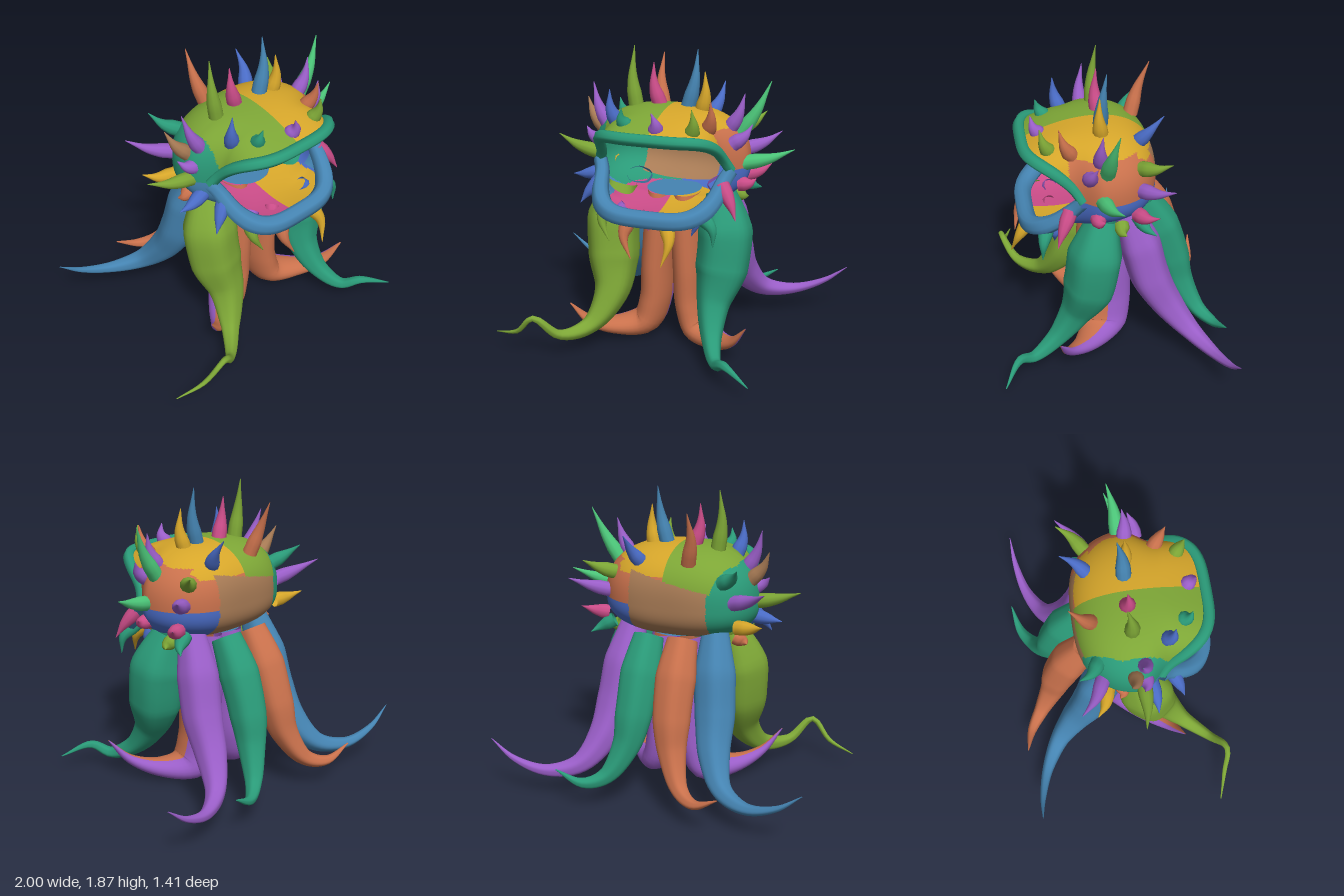
import * as THREE from 'three';
import { mergeVertices } from 'three/addons/utils/BufferGeometryUtils.js';

const palette = {
  teal: 0x2a9a78, steelBlue: 0x4584b2, orange: 0xc9714c, green: 0x7da636, yellow: 0xd6a62a,
  purple: 0x9a5ec8, brown: 0xa87b55, royalBlue: 0x4a6cc6, pink: 0xca4c88, mint: 0x4cc679,
};
const names = Object.keys(palette);

export function createModel() {
  const model = new THREE.Group();
  model.name = 'spikyTentacleCreature';
  const materials = names.map((name) => {
    const m = new THREE.MeshStandardMaterial({ color: palette[name], side: THREE.DoubleSide });
    m.name = name;
    return m;
  });

  // Surface grid; pick(center, u) names the colour of each cell
  function surface(name, nu, nv, point, pick) {
    const pos = [];
    const buckets = names.map(() => []);
    const pts = [];
    for (let j = 0; j <= nv; j++) {
      for (let i = 0; i <= nu; i++) {
        const p = point(i / nu, j / nv);
        pts.push(p);
        pos.push(p.x, p.y, p.z);
      }
    }
    for (let j = 0; j < nv; j++) {
      for (let i = 0; i < nu; i++) {
        const a = j * (nu + 1) + i, b = a + 1, c = a + nu + 1, d = c + 1;
        const center = pts[a].clone().add(pts[d]).multiplyScalar(0.5);
        buckets[names.indexOf(pick(center, (i + 0.5) / nu))].push(a, b, c, b, d, c);
      }
    }
    let geo = new THREE.BufferGeometry();
    geo.setAttribute('position', new THREE.Float32BufferAttribute(pos, 3));
    geo.setIndex(buckets.flat());
    geo = mergeVertices(geo, 1e-5);
    geo.computeVertexNormals();
    let start = 0;
    buckets.forEach((b, k) => {
      if (b.length) geo.addGroup(start, b.length, k);
      start += b.length;
    });
    const mesh = new THREE.Mesh(geo, materials);
    mesh.name = name;
    model.add(mesh);
  }

  // Tapered tube along a smooth path; backColor paints its rear half
  function sweep(name, color, path, radii, { sides = 14, steps = 36, ridge = 0, zScale = 1, backColor } = {}) {
    const curve = new THREE.CatmullRomCurve3(path.map((p) => new THREE.Vector3(p[0], p[1], p[2] / zScale)));
    const frames = curve.computeFrenetFrames(steps, false);
    const offset = (u, k) => frames.normals[k].clone().multiplyScalar(Math.cos(u * 2 * Math.PI))
      .addScaledVector(frames.binormals[k], Math.sin(u * 2 * Math.PI));
    const radius = (v) => {
      const f = curve.getUtoTmapping(v) * (radii.length - 1);
      const k = Math.min(Math.floor(f), radii.length - 2);
      return THREE.MathUtils.lerp(radii[k], radii[k + 1], f - k);
    };
    surface(name, sides, steps, (u, v) => {
      const r = radius(v) * (1 + ridge * Math.cos(10 * Math.PI * u));
      const p = curve.getPointAt(v).addScaledVector(offset(u, Math.round(v * steps)), r);
      p.z *= zScale;
      return p;
    }, (c, u) => (backColor && offset(u, 0).z < 0 ? backColor : color));
  }

  // Head: rounded shell with a wide slanted mouth opening
  const power = (v, e) => Math.sign(v) * Math.abs(v) ** e;
  const rimZ = (t) => 0.18 + 0.31 * Math.abs(Math.sin(t));
  function headPoint(t, z) {
    let width, up, down, square = 0.8;
    if (z < 0.05) {
      const f = Math.max(0, 1 - ((0.05 - z) / 0.35) ** 2) ** 0.35;
      width = 0.49 * f; up = 0.34 * f; down = 0.23 * f;
    } else {
      const k = (z - 0.05) / 0.45;
      width = 0.49 - 0.11 * Math.sin(Math.min(1, 2.2 * k) * Math.PI / 2) ** 2;
      up = 0.34 - 0.12 * k * k;
      down = 0.23 + 0.02 * k + 0.03 * Math.sin(k * Math.PI);
      square = 0.8 - 0.25 * Math.min(1, 2 * k);
    }
    const s = power(Math.sin(t), 0.8);
    return new THREE.Vector3(width * power(Math.cos(t), square), 1.2 + s * (s > 0 ? up : down), z);
  }
  function headColor({ x, y, z }) {
    if (z < -0.17 && x > -0.27 && x < 0.22 && y < 1.36 + 0.2 * x) return 'brown';
    if (y < 1.2 && y > 1.0 && z > 0.22) return 'steelBlue';
    const crownEdge = Math.min(0.38, 0.27 + 0.45 * (z + 0.29));
    const onCrown = Math.abs(x) < crownEdge;
    if (x > 0) {
      if (y > 1.2 && (z > 0.25 || (onCrown && y > (z < -0.15 ? 1.38 : 1.44)))) return 'yellow';
      if (y > 1.2) return 'orange';
      return y > 0.99 ? 'royalBlue' : 'yellow';
    }
    if (onCrown && y > 1.3) return 'green';
    if (y > (z < 0.05 ? 1.0 : 1.2)) return 'teal';
    return y > 1.0 ? 'steelBlue' : 'pink';
  }
  surface('head', 96, 240, (u, v) => {
    const t = v * 2 * Math.PI;
    const z0 = rimZ(t);
    return headPoint(t, z0 - (z0 + 0.3) * Math.sin(u * Math.PI / 2));
  }, headColor);

  // Throat plate on the mouth floor
  const throat = new THREE.Mesh(new THREE.CircleGeometry(0.17, 32), materials[names.indexOf('steelBlue')]);
  throat.name = 'throat';
  throat.rotation.x = -Math.PI / 2;
  throat.position.set(0, 1.0, -0.01);
  model.add(throat);

  // Lips follow the two halves of the mouth rim
  const rim = (from) => Array.from({ length: 25 }, (_, i) => {
    const t = from + (i / 24) * Math.PI;
    return headPoint(t, rimZ(t)).toArray();
  });
  sweep('upperLip', 'teal', rim(0), [0.03, 0.035, 0.035, 0.035, 0.03], { steps: 48, ridge: 0.1 });
  sweep('lowerLip', 'steelBlue', rim(Math.PI), [0.04, 0.055, 0.052, 0.055, 0.04], { steps: 48, ridge: 0.1 });

  // Tentacles
  const mirror = (path) => path.map(([x, y, z]) => [-x, y, z]);
  const opts = { sides: 30, steps: 48, ridge: 0.04 };
  const leg = [[0.085, 0.98, -0.02], [0.088, 0.8, -0.01], [0.105, 0.5, 0], [0.12, 0.25, 0],
    [0.175, 0.1, 0.03], [0.32, 0.08, 0.14], [0.46, 0.14, 0.27], [0.57, 0.28, 0.35]];
  const legRadii = [0.08, 0.1, 0.1, 0.1, 0.095, 0.06, 0.03, 0.003];
  const outerBack = [[0.27, 1.03, -0.1], [0.3, 0.8, -0.18], [0.33, 0.55, -0.25], [0.37, 0.35, -0.36],
    [0.47, 0.2, -0.49], [0.65, 0.165, -0.59], [0.85, 0.23, -0.64], [1, 0.34, -0.65]];
  const outerRadii = [0.08, 0.125, 0.12, 0.095, 0.06, 0.035, 0.018, 0.002];
  const innerBack = [[0.11, 1.0, -0.23], [0.115, 0.8, -0.34], [0.125, 0.55, -0.43], [0.15, 0.38, -0.48],
    [0.24, 0.2, -0.58], [0.36, 0.165, -0.66], [0.52, 0.24, -0.7]];
  const innerRadii = [0.09, 0.12, 0.11, 0.085, 0.05, 0.03, 0.003];
  for (const [side, flip] of [['left', (p) => p], ['right', mirror]]) {
    const isLeft = side === 'left';
    sweep(side + 'Leg', 'orange', flip(leg), legRadii,
      { sides: 24, steps: 48, zScale: 1.6, backColor: 'purple' });
    sweep(side + 'OuterBackTentacle', isLeft ? 'purple' : 'steelBlue', flip(outerBack), outerRadii, opts);
    sweep(side + 'InnerBackTentacle', isLeft ? 'teal' : 'orange', flip(innerBack), innerRadii, opts);
  }
  sweep('leftFrontTentacle', 'teal', [[0.32, 1.02, 0.05], [0.365, 0.8, 0.1], [0.355, 0.55, 0.14], [0.33, 0.35, 0.22],
    [0.36, 0.18, 0.35], [0.43, 0.1, 0.5], [0.51, 0.15, 0.6], [0.68, 0.09, 0.7]],
  [0.09, 0.165, 0.16, 0.1, 0.06, 0.035, 0.025, 0.003], opts);
  sweep('rightFrontTentacle', 'green', [[-0.32, 1.02, 0.05], [-0.365, 0.8, 0.1], [-0.355, 0.55, 0.14],
    [-0.34, 0.35, 0.22], [-0.43, 0.16, 0.36], [-0.57, 0.14, 0.52], [-0.7, 0.27, 0.61], [-0.83, 0.15, 0.58], [-1, 0.1, 0.53]],
  [0.09, 0.165, 0.16, 0.11, 0.055, 0.03, 0.018, 0.014, 0.003], opts);

  // Spikes: colour, base, tip
  const crown = [
    ['green', -0.23, 1.5, 0.03, -0.25, 1.87, 0], ['pink', -0.08, 1.52, 0.02, -0.12, 1.78, 0.02],
    ['steelBlue', 0.1, 1.52, 0.03, 0.15, 1.87, 0], ['yellow', 0.19, 1.5, 0.04, 0.21, 1.75, 0.05],
    ['orange', -0.13, 1.46, -0.19, -0.17, 1.78, -0.31], ['royalBlue', 0.18, 1.43, -0.17, 0.23, 1.62, -0.32],
    ['royalBlue', -0.28, 1.44, 0.22, -0.31, 1.65, 0.26], ['teal', -0.18, 1.45, 0.32, -0.19, 1.57, 0.38],
    ['purple', 0.02, 1.45, 0.38, 0.01, 1.57, 0.43], ['orange', 0.28, 1.43, 0.22, 0.32, 1.63, 0.3],
    ['green', 0.22, 1.43, 0.34, 0.24, 1.6, 0.4],
  ];
  const leftSide = [
    ['purple', 0.37, 1.42, 0.07, 0.46, 1.64, 0.07], ['mint', 0.42, 1.38, 0.04, 0.6, 1.71, 0],
    ['purple', 0.41, 1.35, 0.14, 0.52, 1.47, 0.11], ['mint', 0.45, 1.22, 0.07, 0.75, 1.31, 0],
    ['green', 0.36, 1.36, -0.17, 0.5, 1.45, -0.32], ['purple', 0.4, 1.24, -0.16, 0.6, 1.33, -0.32],
    ['pink', 0.42, 1.09, -0.14, 0.56, 1.14, -0.24], ['teal', 0.38, 1.05, -0.15, 0.5, 0.98, -0.24],
    ['pink', 0.44, 1.1, 0.1, 0.54, 1.13, 0.07], ['pink', 0.38, 1.13, 0.25, 0.49, 0.95, 0.34],
    ['green', 0.38, 1.0, -0.05, 0.46, 0.97, -0.07],
  ];
  const rightSide = [
    ['purple', -0.39, 1.38, 0.08, -0.5, 1.64, 0.05], ['brown', -0.44, 1.34, 0.02, -0.57, 1.53, -0.02],
    ['purple', -0.4, 1.24, -0.16, -0.64, 1.35, -0.31], ['teal', -0.34, 1.36, -0.18, -0.47, 1.47, -0.3],
    ['green', -0.45, 1.2, 0.07, -0.75, 1.29, 0.04], ['purple', -0.43, 1.28, 0.08, -0.55, 1.36, 0.06],
    ['yellow', -0.42, 1.09, -0.14, -0.6, 1.13, -0.22], ['royalBlue', -0.42, 1.1, 0.12, -0.61, 1.07, 0.14],
    ['royalBlue', -0.37, 1.1, 0.25, -0.49, 0.95, 0.32], ['orange', -0.38, 1.0, -0.05, -0.46, 0.97, -0.07],
  ];
  const chin = [
    ['green', -0.29, 0.98, 0.38, -0.25, 0.78, 0.46], ['orange', -0.12, 0.93, 0.46, -0.08, 0.72, 0.55],
    ['yellow', 0.11, 0.93, 0.46, 0.12, 0.71, 0.59], ['teal', 0.29, 0.98, 0.38, 0.38, 0.8, 0.42],
    ['royalBlue', 0.2, 0.95, 0.3, 0.22, 0.82, 0.33], ['pink', -0.05, 0.92, 0.32, -0.04, 0.83, 0.35],
    ['purple', -0.2, 0.95, 0.3, -0.21, 0.84, 0.33],
  ];
  const sets = { crownSpike: crown, leftSpike: leftSide, rightSpike: rightSide, chinSpike: chin };
  for (const [name, list] of Object.entries(sets)) {
    for (const [color, bx, by, bz, tx, ty, tz] of list) {
      const bulge = name === 'chinSpike' ? 0.035 : -0.015;
      const sx = Math.sign(bx) * Math.abs(bulge);
      const mid = [(bx + tx) / 2 + sx, (by + ty) / 2 + bulge * 0.5, (bz + tz) / 2 + 0.01];
      sweep(name, color, [[bx, by, bz], mid, [tx, ty, tz]], [0.046, 0.044, 0.03, 0.014, 0.002], { sides: 10, steps: 12 });
    }
  }
  return model;
}
